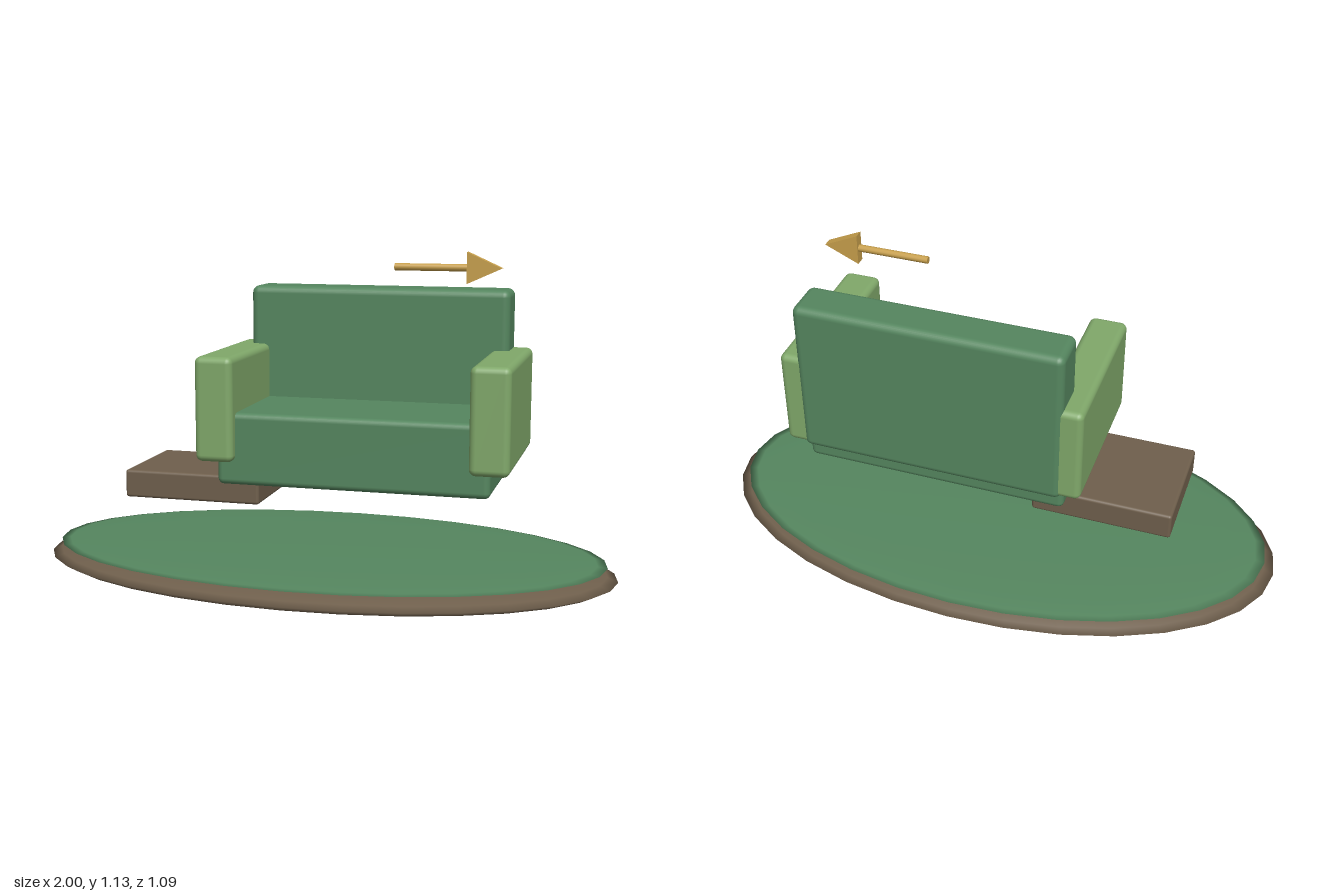
import * as THREE from 'three';
import { RoundedBoxGeometry } from 'three/addons/geometries/RoundedBoxGeometry.js';

const mat = (color) => new THREE.MeshStandardMaterial({ color });

export function createModel() {
  const model = new THREE.Group();
  const green = mat(0x55865f);
  const lightGreen = mat(0x80a86a);
  const brown = mat(0x6f5f4c);
  const gold = mat(0xc79f4b);

  const add = (name, geometry, material, x = 0, y = 0, z = 0) => {
    const mesh = new THREE.Mesh(geometry, material);
    mesh.name = name;
    mesh.position.set(x, y, z);
    model.add(mesh);
    return mesh;
  };

  // Rounded box given by its limits on each axis
  const block = (name, material, [x0, x1], [y0, y1], [z0, z1], radius) =>
    add(name, new RoundedBoxGeometry(x1 - x0, y1 - y0, z1 - z0, 3, radius), material,
      (x0 + x1) / 2, (y0 + y1) / 2, (z0 + z1) / 2);

  // Flattened oval discs of the ground
  const disc = (name, material, rx, ry, rz, y) =>
    add(name, new THREE.SphereGeometry(1, 32, 12), material, 0, y, 0).scale.set(rx, ry, rz);
  disc('groundBase', brown, 1, 0.06, 0.545, 0.06);
  disc('groundTop', green, 0.965, 0.018, 0.524, 0.105);

  // Side platform
  block('platform', brown, [-0.66, -0.18], [0.29, 0.385], [-0.186, 0.186], 0.01);

  // Sofa
  block('seat', green, [-0.305, 0.605], [0.368, 0.61], [-0.245, 0.245], 0.02);
  block('backrest', green, [-0.305, 0.605], [0.44, 1.0], [-0.287, -0.134], 0.025);
  for (const side of [-1, 1]) {
    const x = 0.15 + side * 0.455;
    block(side > 0 ? 'leftArmrest' : 'rightArmrest', lightGreen,
      [x - 0.065, x + 0.065], [0.448, 0.797], [-0.28, 0.281], 0.022);
  }

  // Floating arrow: round shaft and flat triangular head
  const shaft = new THREE.CylinderGeometry(0.012, 0.012, 0.25, 12).rotateZ(-Math.PI / 2);
  add('arrowShaft', shaft, gold, 0.365, 1.083, 0);
  const outline = new THREE.Shape();
  outline.moveTo(0, -0.052);
  outline.lineTo(0.115, 0);
  outline.lineTo(0, 0.052);
  outline.closePath();
  const head = new THREE.ExtrudeGeometry(outline, { depth: 0.033, bevelEnabled: false });
  add('arrowHead', head.translate(0, 0, -0.0165), gold, 0.482, 1.083, 0);

  return model;
}
